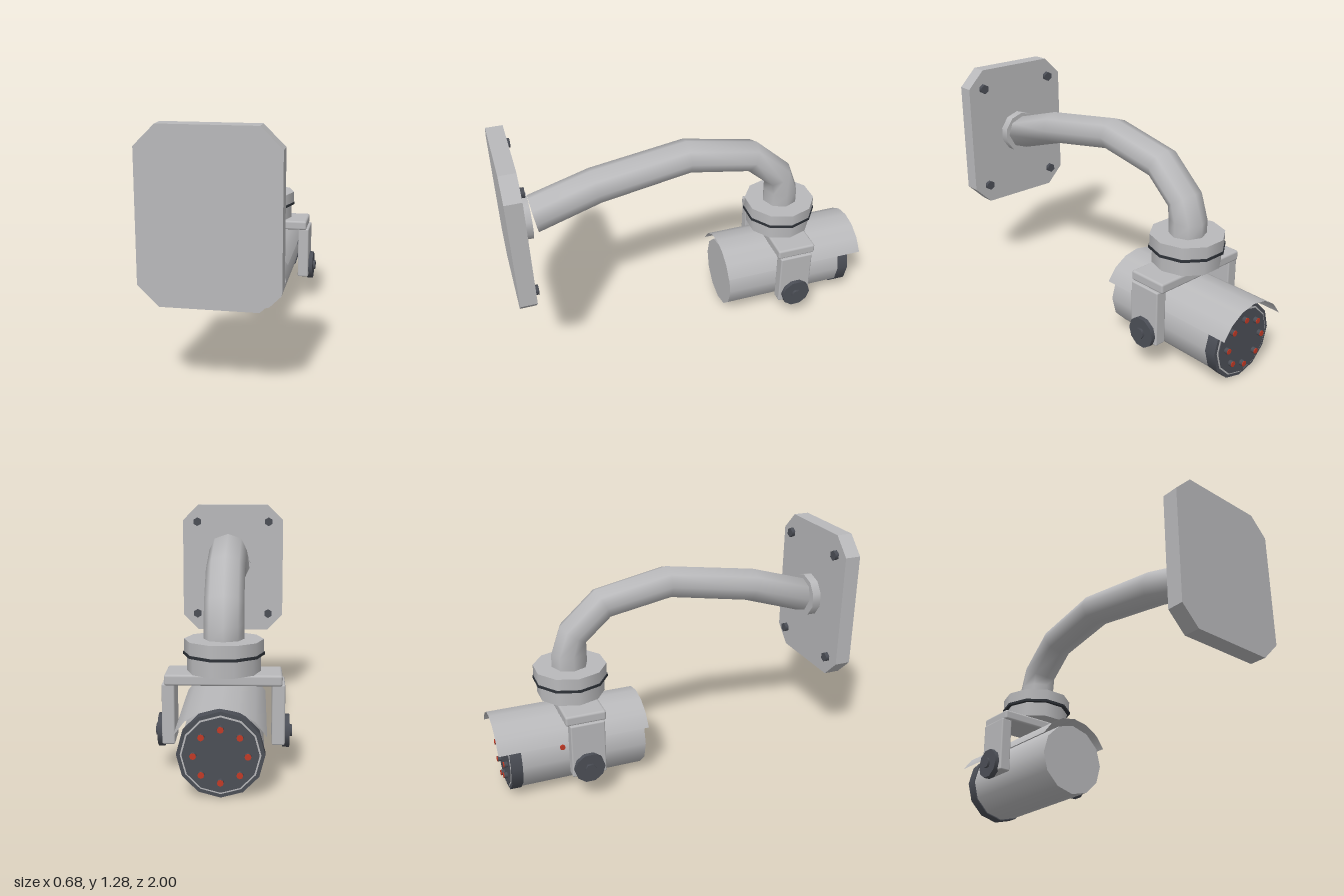
import * as THREE from 'three';
import { RoundedBoxGeometry } from 'three/addons/geometries/RoundedBoxGeometry.js';

const paint = (name, color, side = THREE.FrontSide) => {
  const m = new THREE.MeshStandardMaterial({ color, side });
  m.name = name;
  return m;
};

export function createModel() {
  const grey = paint('light grey metal', 0xb9b9bb);
  const sheet = paint('grey sheet metal', 0xb9b9bb, THREE.DoubleSide);
  const dark = paint('dark slate', 0x4c4f57);
  const black = paint('black rubber', 0x2e3238);
  const red = paint('red lamp', 0xc23a26);

  const model = new THREE.Group();
  model.name = 'wallCamera';
  const add = (name, geometry, material, x = 0, y = 0, z = 0) => {
    const mesh = new THREE.Mesh(geometry, material);
    mesh.name = name;
    mesh.position.set(x, y, z);
    model.add(mesh);
    return mesh;
  };
  // Cylinders along each axis, with a corner turned by "turn"
  const cylY = (r, h, n, turn = 0) => new THREE.CylinderGeometry(r, r, h, n).rotateY(turn);
  const cylZ = (r, h, n, turn = 0) => cylY(r, h, n, turn).rotateX(Math.PI / 2);
  const cylX = (r, h, n, turn = 0) => cylY(r, h, n, turn).rotateZ(Math.PI / 2);

  // Wall plate with cut corners
  const w = 0.33, h = 0.415, c = 0.1;
  const outline = new THREE.Shape([
    [-w + c, -h], [w - c, -h], [w, -h + c], [w, h - c],
    [w - c, h], [-w + c, h], [-w, h - c], [-w, -h + c],
  ].map(([x, y]) => new THREE.Vector2(x, y)));
  add('wallPlate', new THREE.ExtrudeGeometry(outline, { depth: 0.088, bevelEnabled: false }), grey, 0, 0.87, 0.912);
  for (const x of [-0.235, 0.235])
    for (const y of [0.565, 1.175])
      add('plateBolt', cylZ(0.028, 0.03, 6), dark, x, y, 0.905);
  add('armCollar', cylZ(0.122, 0.05, 10), grey, 0, 0.87, 0.888);

  // Bent arm: rings given by outer z, y, inner z, y and half width
  const rings = [
    [0.86, 0.97, 0.83, 0.78, 0.11], [0.53, 1.07, 0.49, 0.89, 0.106],
    [0.01, 1.15, 0.01, 0.975, 0.103], [-0.39, 1.07, -0.32, 0.915, 0.1],
    [-0.59, 0.89, -0.45, 0.8, 0.1], [-0.645, 0.74, -0.45, 0.75, 0.1],
    [-0.645, 0.66, -0.45, 0.66, 0.1],
  ];
  const sides = 8, pos = [], idx = [];
  rings.forEach(([oz, oy, iz, iy, rx], i) => {
    for (let j = 0; j < sides; j++) {
      const a = (j / sides) * Math.PI * 2, s = Math.sin(a) / 2;
      pos.push(rx * Math.cos(a), (oy + iy) / 2 + (oy - iy) * s, (oz + iz) / 2 + (oz - iz) * s);
      if (i === rings.length - 1) continue;
      const p = i * sides + j, q = i * sides + ((j + 1) % sides);
      idx.push(p, p + sides, q, q, p + sides, q + sides);
    }
  });
  for (let j = 1; j < sides - 1; j++) idx.push(0, j, j + 1);
  const arm = new THREE.BufferGeometry();
  arm.setAttribute('position', new THREE.Float32BufferAttribute(pos, 3));
  arm.setIndex(idx);
  arm.computeVertexNormals();
  add('arm', arm, grey);

  // Swivel joint under the arm
  const cz = -0.547, turn = Math.PI / 10;
  add('swivelCap', cylY(0.197, 0.065, 10, turn), grey, 0, 0.638, cz);
  add('swivelSeal', cylY(0.202, 0.014, 10, turn), black, 0, 0.6, cz);
  add('swivelBase', cylY(0.183, 0.085, 10, turn), grey, 0, 0.5525, cz);

  // Yoke with side knobs
  add('yokeTop', new RoundedBoxGeometry(0.576, 0.055, 0.218, 2, 0.012), grey, 0, 0.483, cz);
  for (const s of [-1, 1]) {
    add('yokeLeg', new RoundedBoxGeometry(0.064, 0.305, 0.186, 2, 0.008), grey, s * 0.27, 0.3075, cz + 0.004);
    add('knob', cylX(0.083, 0.034, 10), dark, s * 0.309, 0.207, cz);
    add('knobBolt', cylX(0.03, 0.014, 6), dark, s * 0.332, 0.207, cz);
  }

  // Camera housing and curved sunshield
  const by = 0.207;
  add('housing', cylZ(0.198, 0.7, 12), grey, 0, by, -0.54);
  const half = 1.107;
  const shield = new THREE.CylinderGeometry(0.235, 0.235, 0.825, 6, 1, true, Math.PI - half, half * 2)
    .rotateX(Math.PI / 2);
  add('sunshield', shield, sheet, 0, by, -0.5875);
  add('statusLamp', cylX(0.015, 0.009, 8), red, -0.203, 0.29, -0.66);

  // Lens cap with a ring of lamps
  add('lensCap', cylZ(0.204, 0.06, 12), dark, 0, by, -0.908);
  add('lensRim', cylZ(0.186, 0.004, 12), grey, 0, by, -0.939);
  add('lensFace', cylZ(0.178, 0.006, 12), dark, 0, by, -0.942);
  for (let i = 0; i < 8; i++) {
    const a = (i / 8) * Math.PI * 2;
    const x = 0.125 * Math.cos(a), y = by + 0.125 * Math.sin(a);
    add('lampSocket', cylZ(0.016, 0.02, 8), dark, x, y, -0.953);
    add('lamp', cylZ(0.0155, 0.004, 8), red, x, y, -0.965);
  }
  return model;
}
